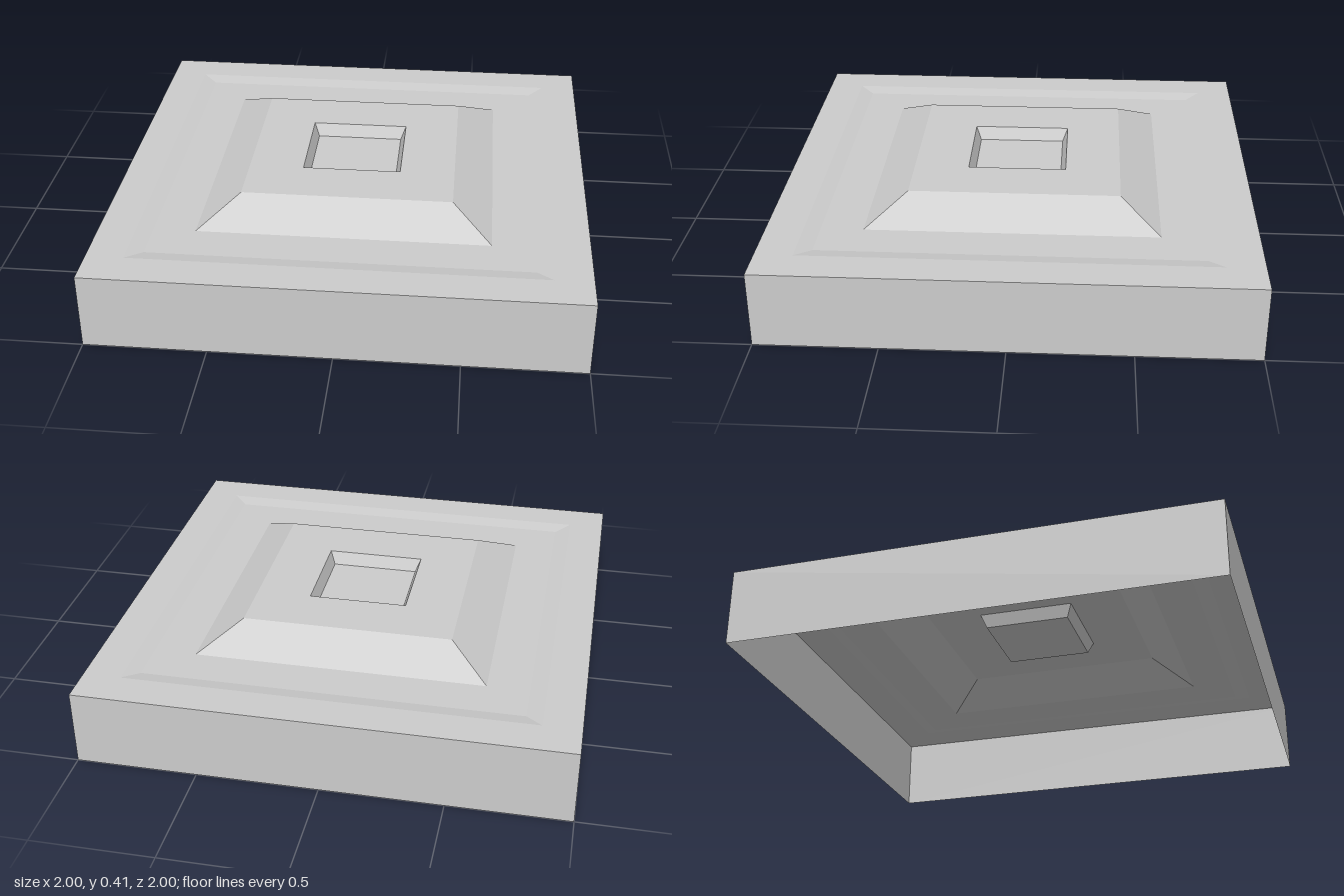
import * as THREE from 'three';

const stone = new THREE.MeshStandardMaterial({ color: 0xcccccc, side: THREE.DoubleSide, flatShading: true });
stone.name = 'light grey';

// Sweep a profile of [half-width, height] around a square, from outside to centre
function squareShell(name, profile) {
  const points = profile.map(([r, y]) => new THREE.Vector2(r * Math.SQRT2, y));
  const geometry = new THREE.LatheGeometry(points, 4, Math.PI / 4).toNonIndexed();
  geometry.computeVertexNormals();
  const mesh = new THREE.Mesh(geometry, stone);
  mesh.name = name;
  return mesh;
}

export function createModel() {
  const model = new THREE.Group();
  model.name = 'squarePanel';
  model.add(
    // Upright sides, open underneath
    squareShell('sideWalls', [[1, 0], [1, 0.32]]),
    // Flat border with a shallow bevel down to the recessed field
    squareShell('border', [[1, 0.32], [0.845, 0.32], [0.78, 0.308]]),
    squareShell('recessedField', [[0.78, 0.308], [0.605, 0.308]]),
    // Raised platform with sloping flanks
    squareShell('platform', [[0.605, 0.308], [0.44, 0.405], [0.208, 0.405]]),
    // Central tapered pocket with a closed floor
    squareShell('pocket', [[0.208, 0.405], [0.186, 0.35], [0, 0.35]])
  );
  return model;
}
